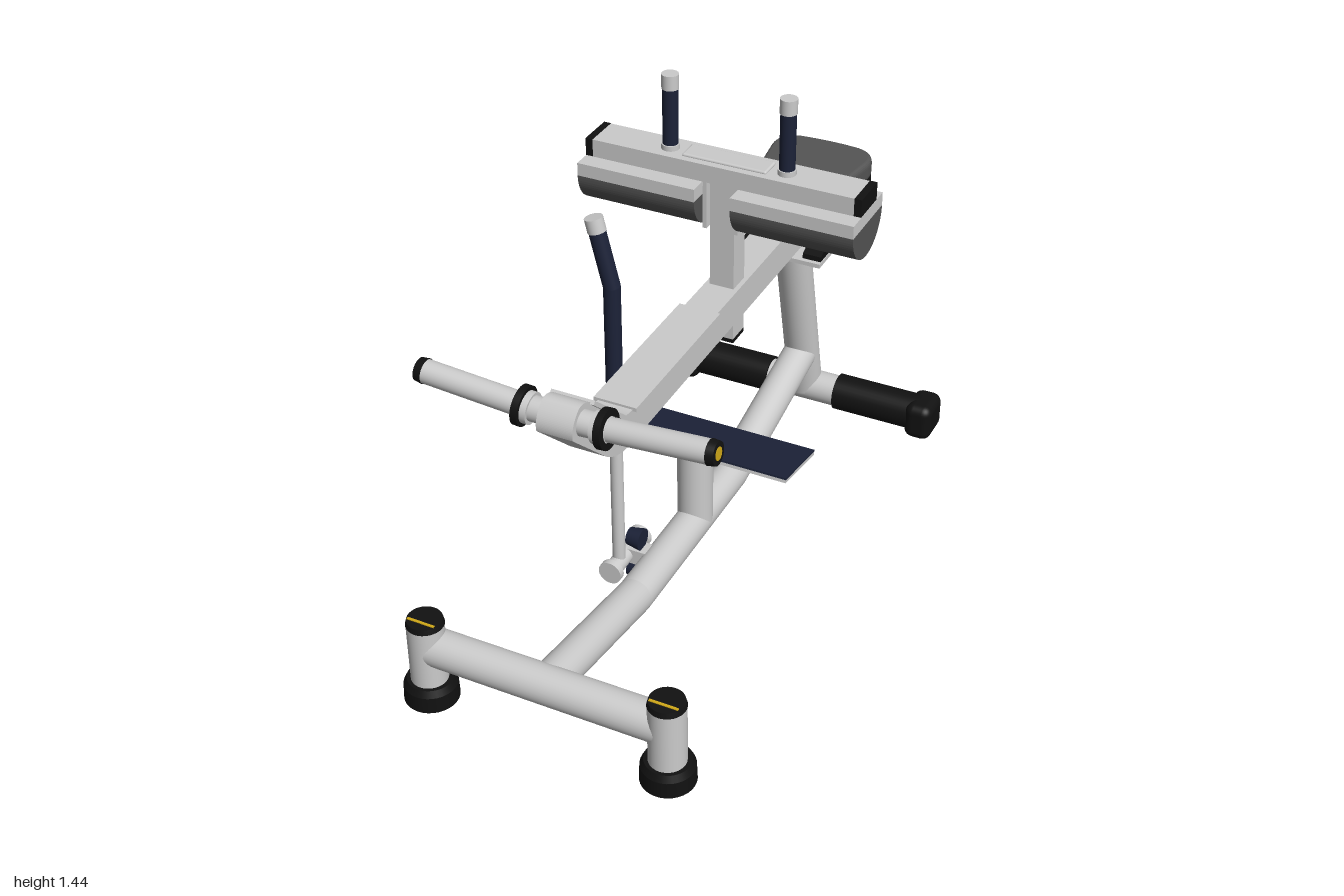
import * as THREE from 'three';
import { RoundedBoxGeometry } from 'three/addons/geometries/RoundedBoxGeometry.js';

const mat = (color) => new THREE.MeshStandardMaterial({ color });
const GREY = mat(0xcccccc), BLACK = mat(0x111111), NAVY = mat(0x1c2238);
const PAD = mat(0x555555), YELLOW = mat(0xd0a818);
const V = (x, y, z) => new THREE.Vector3(x, y, z);

export function createModel() {
  const model = new THREE.Group();

  const add = (name, geometry, material = GREY, x = 0, y = 0, z = 0) => {
    const mesh = new THREE.Mesh(geometry, material);
    mesh.name = name;
    mesh.position.set(x, y, z);
    model.add(mesh);
    return mesh;
  };
  const box = (name, w, h, d, x, y, z, material) => add(name, new THREE.BoxGeometry(w, h, d), material, x, y, z);
  // Round bar from a to b, optionally tapering from ra to rb
  const bar = (name, a, b, ra, material, rb = ra) => {
    const dir = b.clone().sub(a);
    const mid = a.clone().add(b).multiplyScalar(0.5);
    const mesh = add(name, new THREE.CylinderGeometry(rb, ra, dir.length(), 32), material, mid.x, mid.y, mid.z);
    mesh.quaternion.setFromUnitVectors(V(0, 1, 0), dir.normalize());
    return mesh;
  };
  // Chain of round bars with ball joints at the bends
  const bentBar = (name, points, r, material) => points.forEach((p, i) => {
    if (i === 0) return;
    bar(name, points[i - 1], p, r, material);
    if (i < points.length - 1) add(name + 'Bend', new THREE.SphereGeometry(r, 32, 16), material, p.x, p.y, p.z);
  });
  // Side profile in (z, y), extruded to width w and centred on x
  const sideExtrude = (name, shape, w, x, material) => {
    const g = new THREE.ExtrudeGeometry(shape, { depth: w, bevelEnabled: false, curveSegments: 20 });
    g.translate(0, 0, -w / 2).rotateY(-Math.PI / 2);
    return add(name, g, material, x);
  };

  // Base frame
  bentBar('baseTube', [V(0, 0.175, 0.92), V(0, 0.09, 0.4), V(0, 0.09, -0.25), V(0, 0.22, -0.8)], 0.054);
  bar('frontCrossTube', V(-0.36, 0.18, 0.92), V(0.36, 0.18, 0.92), 0.055);
  bar('rearCrossTube', V(-0.44, 0.067, -0.85), V(0.44, 0.067, -0.85), 0.052);
  bar('rearPost', V(0, 0.07, -0.85), V(0, 0.685, -0.705), 0.057);

  for (const s of [-1, 1]) {
    // Front legs with rubber feet and sloped caps
    const x = s * 0.365;
    bar('frontLeg', V(x, 0.04, 0.925), V(x, 0.262, 0.925), 0.053);
    bar('frontFoot', V(x, 0, 0.922), V(x, 0.05, 0.922), 0.078, BLACK, 0.076);
    bar('frontFootLip', V(x, 0.05, 0.922), V(x, 0.07, 0.922), 0.076, BLACK, 0.066);
    bar('frontLegCap', V(x, 0.26, 0.925), V(x, 0.276, 0.925), 0.054, BLACK, 0.05);
    box('capStripe', 0.085, 0.003, 0.008, x, 0.277, 0.945, YELLOW);
    // Rear rubber sleeves and end caps
    bar('rearSleeve', V(s * 0.12, 0.067, -0.85), V(s * 0.41, 0.067, -0.85), 0.06, BLACK);
    add('rearFoot', new RoundedBoxGeometry(0.09, 0.125, 0.135, 4, 0.03), BLACK, s * 0.42, 0.0625, -0.85);
  }

  // Foot plate on its post
  bar('footPost', V(0, 0.09, 0), V(0, 0.385, 0), 0.054);
  const slope = -0.18;
  box('footPlate', 0.666, 0.01, 0.215, 0, 0.383, -0.008).rotation.x = slope;
  box('footPlateGrip', 0.666, 0.006, 0.215, 0, 0.391, -0.009, NAVY).rotation.x = slope;

  // Lever beam rising to the weight arm
  const beam = new THREE.Shape();
  beam.moveTo(-0.75, 0.712);
  beam.lineTo(0.5, 0.712);
  beam.quadraticCurveTo(0.585, 0.712, 0.645, 0.765);
  beam.lineTo(0.81, 0.92);
  beam.quadraticCurveTo(0.82, 0.96, 0.775, 0.995);
  beam.quadraticCurveTo(0.745, 1.005, 0.71, 0.975);
  beam.lineTo(0.56, 0.838);
  beam.quadraticCurveTo(0.535, 0.815, 0.49, 0.815);
  beam.lineTo(-0.845, 0.815);
  beam.lineTo(-0.845, 0.785);
  sideExtrude('leverBeam', beam, 0.104, 0);
  box('beamTopPlate', 0.128, 0.012, 0.52, 0, 0.816, 0.23);
  const armPlate = box('armTopPlate', 0.126, 0.012, 0.22, 0, 0.905, 0.632);
  armPlate.rotation.x = -0.74;

  // Weight horns with collars and end caps
  bar('hornCore', V(-0.13, 0.945, 0.757), V(0.13, 0.945, 0.757), 0.035);
  for (const s of [-1, 1]) {
    const at = (x) => V(s * x, 0.937 + x * 0.07, 0.757);
    bar('weightHorn', at(0.05), at(0.41), 0.033);
    bar('hornCap', at(0.405), at(0.427), 0.035, BLACK, 0.032);
    bar('hornCapRing', at(0.4265), at(0.4285), 0.018, YELLOW);
    bar('hornCollar', at(0.108), at(0.128), 0.055, BLACK);
    bar('hornWasher', at(0.09), at(0.108), 0.044);
  }

  // Rear pivot: plate, pillow blocks, shaft and stop
  box('pivotPlate', 0.27, 0.014, 0.21, 0, 0.688, -0.705);
  bar('pivotShaft', V(-0.14, 0.74, -0.7), V(0.14, 0.74, -0.7), 0.022);
  const block = new THREE.Shape();
  block.moveTo(-0.785, 0.694);
  block.lineTo(-0.615, 0.694);
  block.lineTo(-0.615, 0.712);
  block.lineTo(-0.65, 0.725);
  block.absarc(-0.7, 0.74, 0.052, 0.1, Math.PI - 0.1, false);
  block.lineTo(-0.785, 0.712);
  for (const s of [-1, 1]) sideExtrude('pillowBlock', block, 0.06, s * 0.102, BLACK);
  bar('beamStop', V(0, 0.7, -0.77), V(0, 0.745, -0.8), 0.028, NAVY);
  bar('beamBumper', V(0, 0.69, -0.6), V(0, 0.722, -0.6), 0.03, NAVY);

  // Seat, tapering toward the front
  const seat = new THREE.Shape();
  seat.moveTo(-0.07, 0.505);
  seat.lineTo(0.07, 0.505);
  seat.quadraticCurveTo(0.095, 0.51, 0.105, 0.57);
  seat.lineTo(0.152, 0.9);
  seat.quadraticCurveTo(0.16, 0.965, 0.1, 0.98);
  seat.quadraticCurveTo(0, 0.992, -0.1, 0.98);
  seat.quadraticCurveTo(-0.16, 0.965, -0.152, 0.9);
  seat.lineTo(-0.105, 0.57);
  seat.quadraticCurveTo(-0.095, 0.51, -0.07, 0.505);
  const seatLayer = (name, y, depth, bevel, material) => {
    const g = new THREE.ExtrudeGeometry(seat, {
      depth, bevelThickness: bevel, bevelSize: 0.013, bevelSegments: 5, curveSegments: 16,
    });
    add(name, g.rotateX(-Math.PI / 2), material, 0, y, 0);
  };
  seatLayer('seatBase', 0.825, 0.02, 0.01, BLACK);
  seatLayer('seatCushion', 0.862, 0.028, 0.02, PAD);

  // Knee pad post with cap, side brackets and pull pin
  box('kneePost', 0.076, 0.52, 0.074, 0, 0.9, -0.213);
  box('kneePostCap', 0.078, 0.012, 0.076, 0, 0.636, -0.213, BLACK);
  for (const s of [-1, 1]) box('kneeBracket', 0.012, 0.15, 0.1, s * 0.049, 1.08, -0.213);
  bar('pinBarrel', V(0, 0.97, -0.24), V(0, 0.97, -0.315), 0.017);
  bar('pinStem', V(0, 0.97, -0.31), V(0, 0.97, -0.355), 0.012, YELLOW);
  bar('pinKnob', V(0, 0.97, -0.35), V(0, 0.97, -0.375), 0.014, YELLOW, 0.03);

  // Knee pads: half-round cushions under flat boards
  const cushion = new THREE.Shape();
  cushion.moveTo(-0.321, 1.115);
  cushion.absellipse(-0.213, 1.115, 0.108, 0.107, Math.PI, Math.PI * 2, false);
  for (const s of [-1, 1]) {
    sideExtrude('kneePad', cushion, 0.37, s * 0.24, PAD);
    box('kneePadBoard', 0.37, 0.04, 0.216, s * 0.24, 1.135, -0.213);
    box('kneeBarCap', 0.022, 0.054, 0.115, s * 0.414, 1.183, -0.216, BLACK);
    // Upright hand grips
    const x = s * 0.18;
    bar('gripCollar', V(x, 1.205, -0.213), V(x, 1.225, -0.213), 0.027);
    bar('handGrip', V(x, 1.222, -0.213), V(x, 1.398, -0.213), 0.023, NAVY);
    bar('gripTip', V(x, 1.396, -0.213), V(x, 1.44, -0.213), 0.025);
  }
  box('kneeBar', 0.81, 0.055, 0.113, 0, 1.182, -0.216);
  add('kneeBarPlate', new RoundedBoxGeometry(0.26, 0.012, 0.07, 3, 0.006), GREY, 0, 1.211, -0.216);

  // Release lever with bent grip
  bar('leverRod', V(-0.103, 0.1, 0.3), V(-0.103, 0.72, 0.3), 0.019);
  bar('leverCollar', V(-0.103, 0.685, 0.3), V(-0.103, 0.7, 0.3), 0.032);
  bentBar('leverGrip', [V(-0.103, 0.7, 0.3), V(-0.103, 1.05, 0.3), V(-0.144, 1.215, 0.3)], 0.024, NAVY);
  bar('leverTip', V(-0.143, 1.21, 0.3), V(-0.153, 1.25, 0.3), 0.026);
  const gusset = new THREE.Shape([[-0.13, 0.684], [-0.05, 0.712], [-0.02, 0.684], [-0.075, 0.59]]
    .map(([x, y]) => new THREE.Vector2(x, y)));
  add('leverGusset', new THREE.ExtrudeGeometry(gusset, { depth: 0.012, bevelEnabled: false }), GREY, 0, 0, 0.294);
  box('leverRest', 0.1, 0.012, 0.06, -0.085, 0.69, 0.3);

  // Lever pivot and rubber stops on the base
  bar('leverPivot', V(-0.103, 0.105, 0.16), V(-0.103, 0.105, 0.36), 0.026);
  for (const z of [0.17, 0.35]) bar('pivotFlange', V(-0.103, 0.105, z - 0.01), V(-0.103, 0.105, z + 0.01), 0.036);
  box('pivotBracket', 0.1, 0.05, 0.05, -0.05, 0.105, 0.24);
  for (const y of [0.16, 0.045]) bar('leverStop', V(-0.055, y, 0.24), V(-0.1, y, 0.24), 0.034, NAVY, 0.026);

  return model;
}
